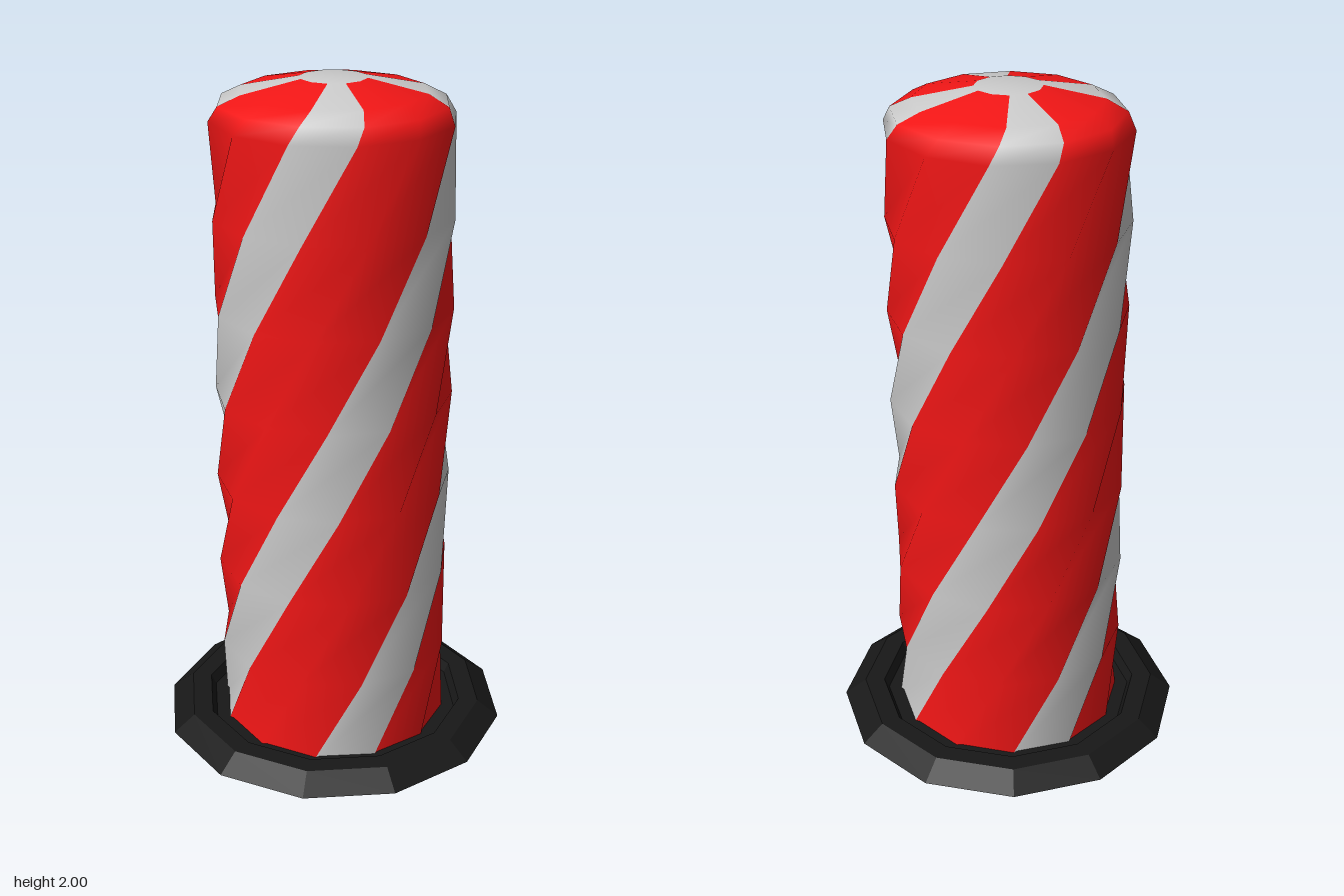
import * as THREE from 'three';

const SIDES = 12;
const rad = THREE.MathUtils.degToRad;
const white = new THREE.MeshStandardMaterial({ color: 0xcccccc });
const red = new THREE.MeshStandardMaterial({ color: 0xf21616 });
const black = new THREE.MeshStandardMaterial({ color: 0x181818, flatShading: true, side: THREE.DoubleSide });

// Skin over rings [radius, y, twist in degrees]; every third strip is white, the rest red.
// Both colours share vertices so the shading stays smooth across the stripes.
function stripedSkin(name, rings, closeTop) {
  const pos = [], whiteIdx = [], redIdx = [];
  for (const [r, y, twist] of rings) {
    for (let i = 0; i < SIDES; i++) {
      const a = rad(twist + i * 360 / SIDES);
      pos.push(r * Math.sin(a), y, r * Math.cos(a));
    }
  }
  for (let k = 0; k < rings.length - 1; k++) {
    for (let i = 0; i < SIDES; i++) {
      const j = (i + 1) % SIDES;
      const a = k * SIDES + i, b = k * SIDES + j;
      const c = b + SIDES, d = a + SIDES;
      (i % 3 === 0 ? whiteIdx : redIdx).push(a, b, c, a, c, d);
    }
  }
  // White disc at the crown
  if (closeTop) {
    const start = (rings.length - 1) * SIDES, centre = pos.length / 3;
    pos.push(0, rings[rings.length - 1][1], 0);
    for (let i = 0; i < SIDES; i++) whiteIdx.push(start + i, start + (i + 1) % SIDES, centre);
  }
  const whole = new THREE.BufferGeometry();
  whole.setAttribute('position', new THREE.Float32BufferAttribute(pos, 3));
  whole.setIndex([...whiteIdx, ...redIdx]);
  whole.computeVertexNormals();

  const group = new THREE.Group();
  group.name = name;
  for (const [label, idx, mat] of [['WhiteStripes', whiteIdx, white], ['RedStripes', redIdx, red]]) {
    const g = new THREE.BufferGeometry();
    g.setAttribute('position', whole.attributes.position);
    g.setAttribute('normal', whole.attributes.normal);
    g.setIndex(idx);
    const mesh = new THREE.Mesh(g, mat);
    mesh.name = name + label;
    group.add(mesh);
  }
  return group;
}

export function createModel() {
  const model = new THREE.Group();
  model.name = 'stripedPost';

  // Twisted column: seven equal rows, then the rounded cap
  const R = 0.348, ROWS = 7, TURN = 24.4, topTwist = -40;
  const rings = [];
  for (let k = 0; k <= ROWS; k++) rings.push([R, 0.27 * k, topTwist - TURN * (ROWS - k)]);
  rings.push([0.325, 1.935, -36], [0.265, 1.965, -33], [0.095, 2, -30]);
  model.add(stripedSkin('column', rings, true));

  // Thin striped lip under the column
  const footTwist = rings[0][2];
  model.add(stripedSkin('columnFoot', [[0.328, 0, footTwist], [R, 0, footTwist]], false));

  // Twelve-sided base plate with sloped rim and a recess around the column
  const profile = [
    [0, 0.004], [0.345, 0.004], [0.35, 0], [0.525, 0], [0.46, 0.05],
    [0.4, 0.05], [0.385, 0.02], [0.33, 0.02],
  ].map(([x, y]) => new THREE.Vector2(x, y));
  const base = new THREE.Mesh(new THREE.LatheGeometry(profile, SIDES), black);
  base.name = 'basePlate';
  model.add(base);

  return model;
}
